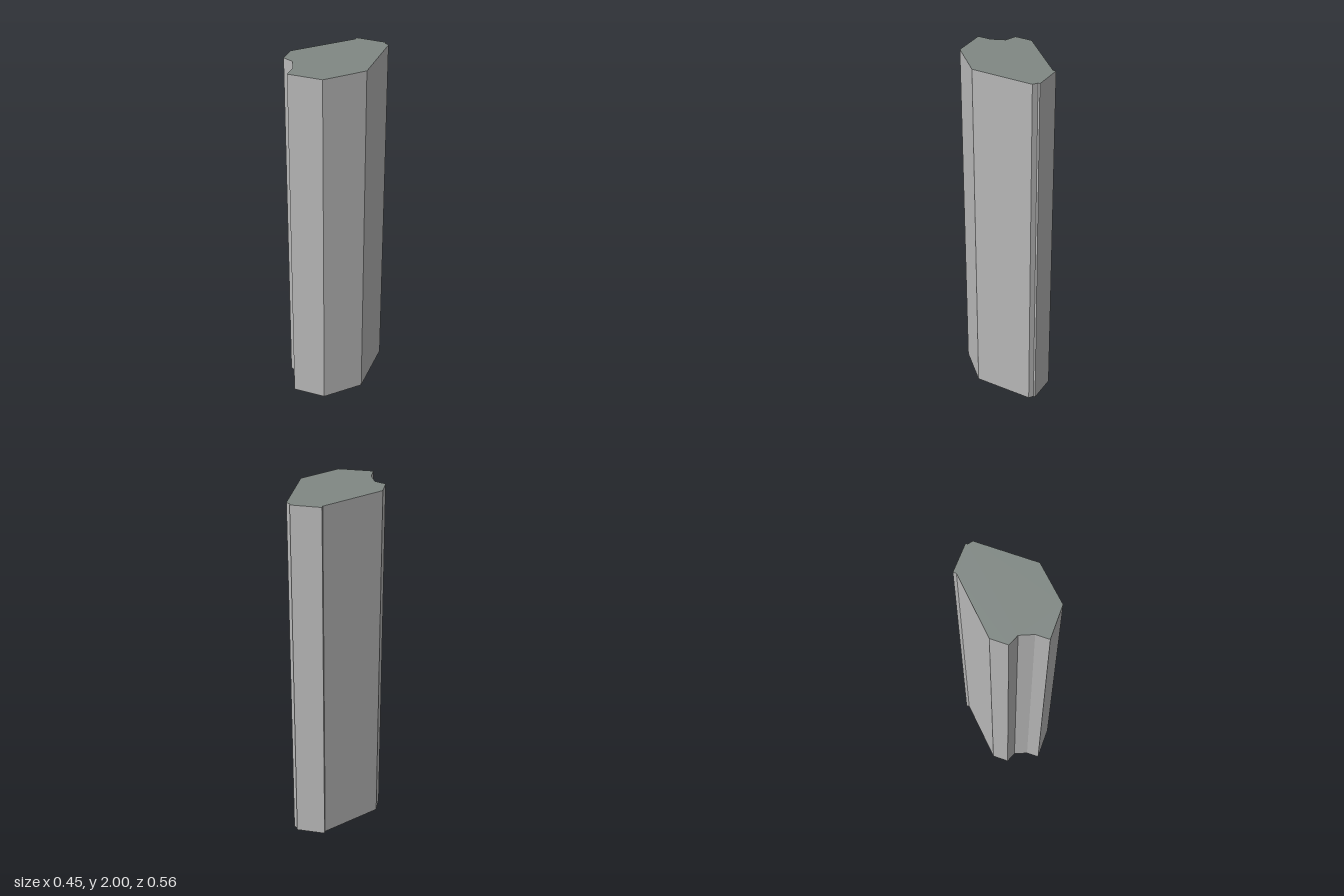
import * as THREE from 'three';

const HEIGHT = 2;

// Floor plan as [x, z], clockwise seen from above
const PLAN = [
  [0.01, -0.272], [0.171, -0.281], [0.171, -0.27], [0.196, -0.254],
  [0.222, 0.08], [0.07, 0.263], [-0.114, 0.278], [-0.12, 0.205],
  [-0.156, 0.135], [-0.217, 0.115], [-0.224, 0.021], [0.011, -0.254],
];

// One upright quad per plan edge, open at the bottom
function wallGeometry() {
  const positions = [];
  PLAN.forEach(([ax, az], i) => {
    const [bx, bz] = PLAN[(i + 1) % PLAN.length];
    positions.push(
      ax, 0, az, ax, HEIGHT, az, bx, HEIGHT, bz,
      ax, 0, az, bx, HEIGHT, bz, bx, 0, bz,
    );
  });
  const geometry = new THREE.BufferGeometry();
  geometry.setAttribute('position', new THREE.Float32BufferAttribute(positions, 3));
  geometry.computeVertexNormals();
  return geometry;
}

// Flat roof laid over the plan
function roofGeometry() {
  const shape = new THREE.Shape(PLAN.map(([x, z]) => new THREE.Vector2(x, -z)));
  return new THREE.ShapeGeometry(shape).rotateX(-Math.PI / 2).translate(0, HEIGHT, 0);
}

export function createModel() {
  const wallGrey = new THREE.MeshStandardMaterial({ color: 0xb8b8b8, side: THREE.DoubleSide });
  wallGrey.name = 'wall grey';
  const roofGrey = new THREE.MeshStandardMaterial({ color: 0x808884, side: THREE.DoubleSide });
  roofGrey.name = 'roof grey';

  const walls = new THREE.Mesh(wallGeometry(), wallGrey);
  walls.name = 'walls';
  const roof = new THREE.Mesh(roofGeometry(), roofGrey);
  roof.name = 'roof';

  const tower = new THREE.Group();
  tower.name = 'tower';
  tower.add(walls, roof);
  return tower;
}
